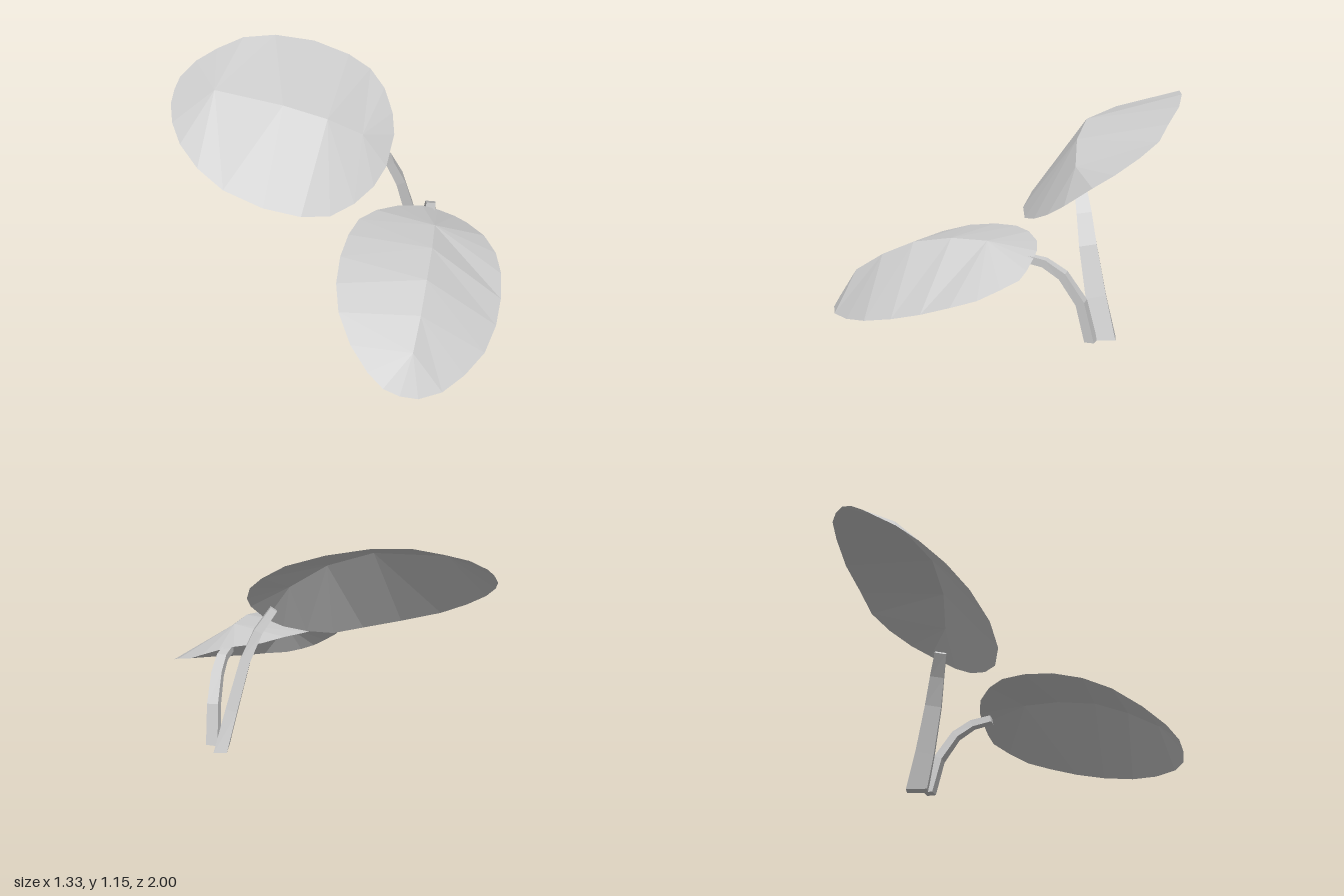
import * as THREE from 'three';

const grey = new THREE.MeshStandardMaterial({ color: 0xcccccc, flatShading: true, side: THREE.DoubleSide });
grey.name = 'pale grey';

function meshFrom(triangles, name) {
  const geo = new THREE.BufferGeometry();
  geo.setAttribute('position', new THREE.Float32BufferAttribute(triangles.flat(2), 3));
  geo.computeVertexNormals();
  const mesh = new THREE.Mesh(geo, grey);
  mesh.name = name;
  return mesh;
}

// Leaf blade: a rim of [x, y, z, nearest rib point] joined to a folded midrib.
function leaf(name, rib, rim) {
  const tris = [];
  rim.forEach((a, i) => {
    const b = rim[(i + 1) % rim.length];
    const A = a.slice(0, 3), B = b.slice(0, 3);
    tris.push([B, A, rib[a[3]]]);
    // walk along the rib where the two rim points use different rib points
    const step = Math.sign(b[3] - a[3]);
    for (let k = a[3]; k !== b[3]; k += step) tris.push([B, rib[k], rib[k + step]]);
  });
  return meshFrom(tris, name);
}

// Stem: four-sided section swept along a few points, cut level at the base.
function stem(name, path, ref, wide, deep, taper) {
  const pts = path.map(p => new THREE.Vector3(...p));
  const last = pts.length - 1;
  const rings = pts.map((p, i) => {
    const t = i === 0 ? new THREE.Vector3(0, 1, 0)
      : pts[Math.min(i + 1, last)].clone().sub(pts[i - 1]).normalize();
    const u = new THREE.Vector3(...ref).addScaledVector(t, -t.dot(new THREE.Vector3(...ref))).normalize();
    const v = new THREE.Vector3().crossVectors(t, u);
    const s = 1 - (1 - taper) * i / last;
    return [[1, 1], [-1, 1], [-1, -1], [1, -1]].map(([a, b]) =>
      p.clone().addScaledVector(u, a * wide * s).addScaledVector(v, b * deep * s).toArray());
  });
  const tris = [];
  const quad = (a, b, c, d) => tris.push([a, b, c], [a, c, d]);
  for (let i = 0; i < last; i++) {
    for (let k = 0; k < 4; k++) {
      const n = (k + 1) % 4;
      quad(rings[i][k], rings[i][n], rings[i + 1][n], rings[i + 1][k]);
    }
  }
  quad(...rings[0].slice().reverse());
  quad(...rings[last]);
  return meshFrom(tris, name);
}

export function createModel() {
  const model = new THREE.Group();
  model.name = 'twoLeafPlant';

  // Tall leaf at the back
  model.add(leaf('upperLeaf',
    [[-0.42, 1.036, -0.73], [-0.156, 1.01, -0.444], [0.041, 0.932, -0.312], [0.216, 0.818, -0.238]],
    [
      [0.05, 1.15, -0.915, 1], [0.24, 1.11, -0.81, 1], [0.39, 1.043, -0.68, 2], [0.477, 0.97, -0.59, 3],
      [0.5, 0.896, -0.476, 3], [0.477, 0.81, -0.35, 3], [0.427, 0.74, -0.25, 3], [0.31, 0.632, -0.14, 3],
      [0.2, 0.568, -0.09, 3], [0.06, 0.52, -0.063, 2], [-0.09, 0.493, -0.063, 2], [-0.245, 0.52, -0.106, 1],
      [-0.415, 0.571, -0.217, 1], [-0.566, 0.643, -0.38, 0], [-0.64, 0.721, -0.53, 0], [-0.668, 0.8, -0.677, 0],
      [-0.655, 0.868, -0.794, 0], [-0.615, 0.925, -0.89, 0], [-0.566, 0.975, -0.94, 0], [-0.51, 1.018, -0.98, 0],
      [-0.4, 1.075, -1, 0], [-0.27, 1.114, -1, 0], [-0.116, 1.15, -0.98, 0],
    ]));

  // Low leaf at the front
  model.add(leaf('lowerLeaf',
    [[-0.143, 0.268, 0.857], [-0.025, 0.371, 0.74], [0.097, 0.454, 0.603], [0.235, 0.493, 0.44], [0.353, 0.493, 0.286]],
    [
      [0.164, 0.48, 0, 4], [0.296, 0.458, 0, 4], [0.43, 0.44, 0.048, 4], [0.503, 0.415, 0.095, 4],
      [0.577, 0.38, 0.153, 4], [0.625, 0.35, 0.206, 4], [0.664, 0.32, 0.317, 4], [0.664, 0.277, 0.434, 4],
      [0.615, 0.24, 0.556, 4], [0.527, 0.193, 0.68, 3], [0.414, 0.15, 0.8, 2], [0.27, 0.11, 0.905, 1],
      [0.107, 0.079, 0.963, 1], [-0.05, 0.066, 0.995, 0], [-0.18, 0.066, 0.974, 0], [-0.263, 0.09, 0.93, 0],
      [-0.326, 0.125, 0.873, 0], [-0.362, 0.18, 0.783, 0], [-0.377, 0.257, 0.64, 0], [-0.353, 0.343, 0.48, 1],
      [-0.288, 0.407, 0.344, 2], [-0.19, 0.454, 0.217, 3], [-0.075, 0.478, 0.106, 3], [0.037, 0.484, 0.026, 4],
    ]));

  // Stems
  model.add(stem('upperStem',
    [[0.595, 0, -0.255], [0.53, 0.2, -0.235], [0.45, 0.45, -0.22], [0.38, 0.6, -0.225], [0.3, 0.71, -0.235]],
    [-0.4, 0, 0.92], 0.058, 0.034, 0.55));
  model.add(stem('lowerStem',
    [[0.615, 0, -0.175], [0.595, 0.2, -0.13], [0.55, 0.335, -0.05], [0.5, 0.395, 0.03], [0.435, 0.415, 0.12]],
    [0.8, 0, 0.6], 0.032, 0.025, 0.75));

  return model;
}
